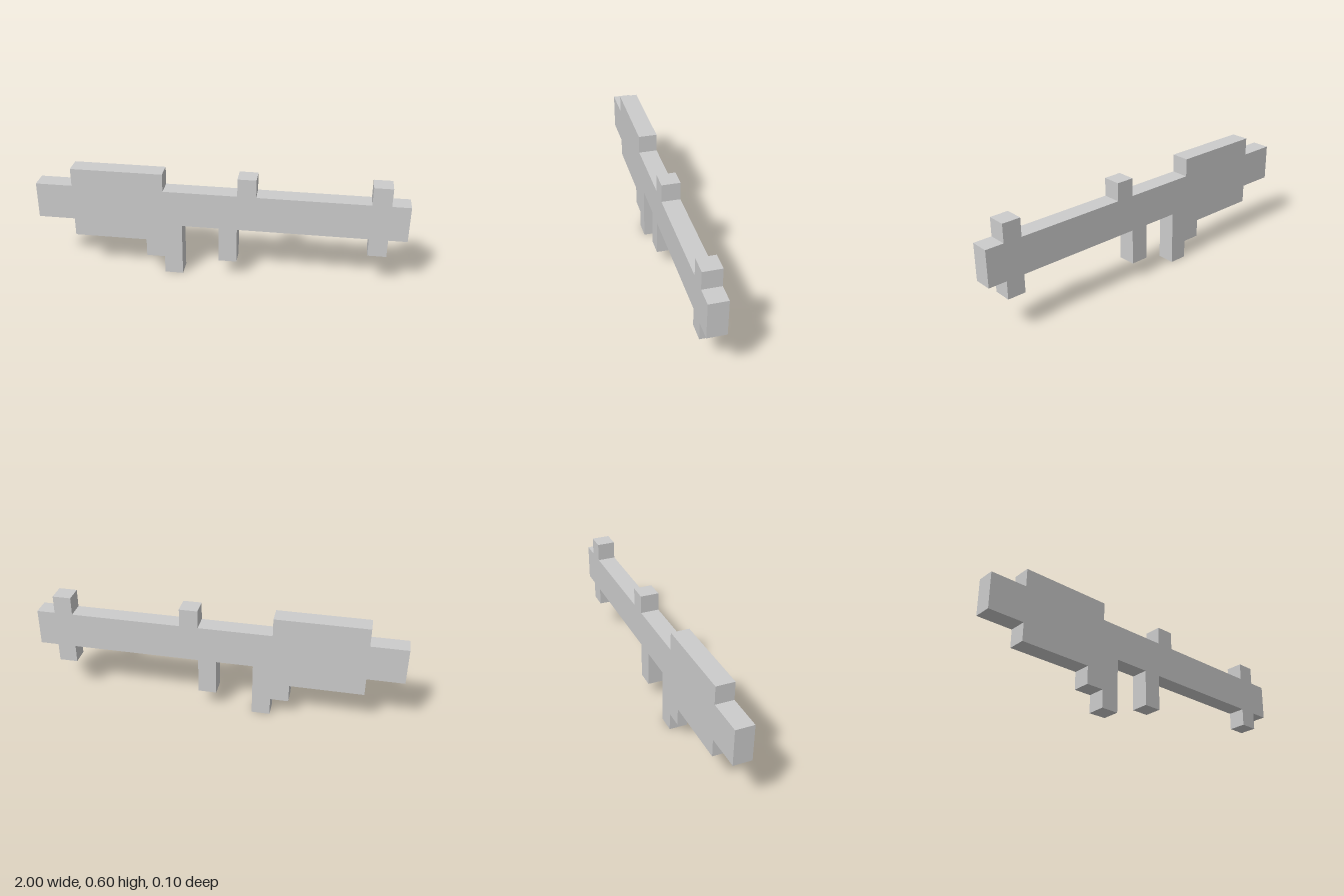
import * as THREE from 'three';

const UNIT = 0.1; // one block of the stepped outline

// Stepped side profile in blocks, counter-clockwise from the rear end
const OUTLINE = [
  // underside: rear body, stepped handle, front grip, lower end lug
  [-10, 3], [-8, 3], [-8, 2], [-4, 2], [-4, 1], [-3, 1], [-3, 0], [-2, 0], [-2, 3],
  [0, 3], [0, 1], [1, 1], [1, 3],
  [8, 3], [8, 2], [9, 2], [9, 3], [10, 3],
  // top: upper end lug, sight block, raised rear body
  [10, 5], [9, 5], [9, 6], [8, 6], [8, 5],
  [2, 5], [2, 6], [1, 6], [1, 5],
  [-3, 5], [-3, 6], [-8, 6], [-8, 5], [-10, 5],
];

export function createModel() {
  const group = new THREE.Group();
  group.name = 'blockLauncher';

  // One-block-thick slab, centred on z
  const shape = new THREE.Shape(OUTLINE.map(([x, y]) => new THREE.Vector2(x * UNIT, y * UNIT)));
  const geometry = new THREE.ExtrudeGeometry(shape, { depth: UNIT, bevelEnabled: false });
  geometry.translate(0, 0, -UNIT / 2);

  const material = new THREE.MeshStandardMaterial({ color: 0xcccccc, flatShading: true });
  const body = new THREE.Mesh(geometry, material);
  body.name = 'launcherBody';
  group.add(body);
  return group;
}
